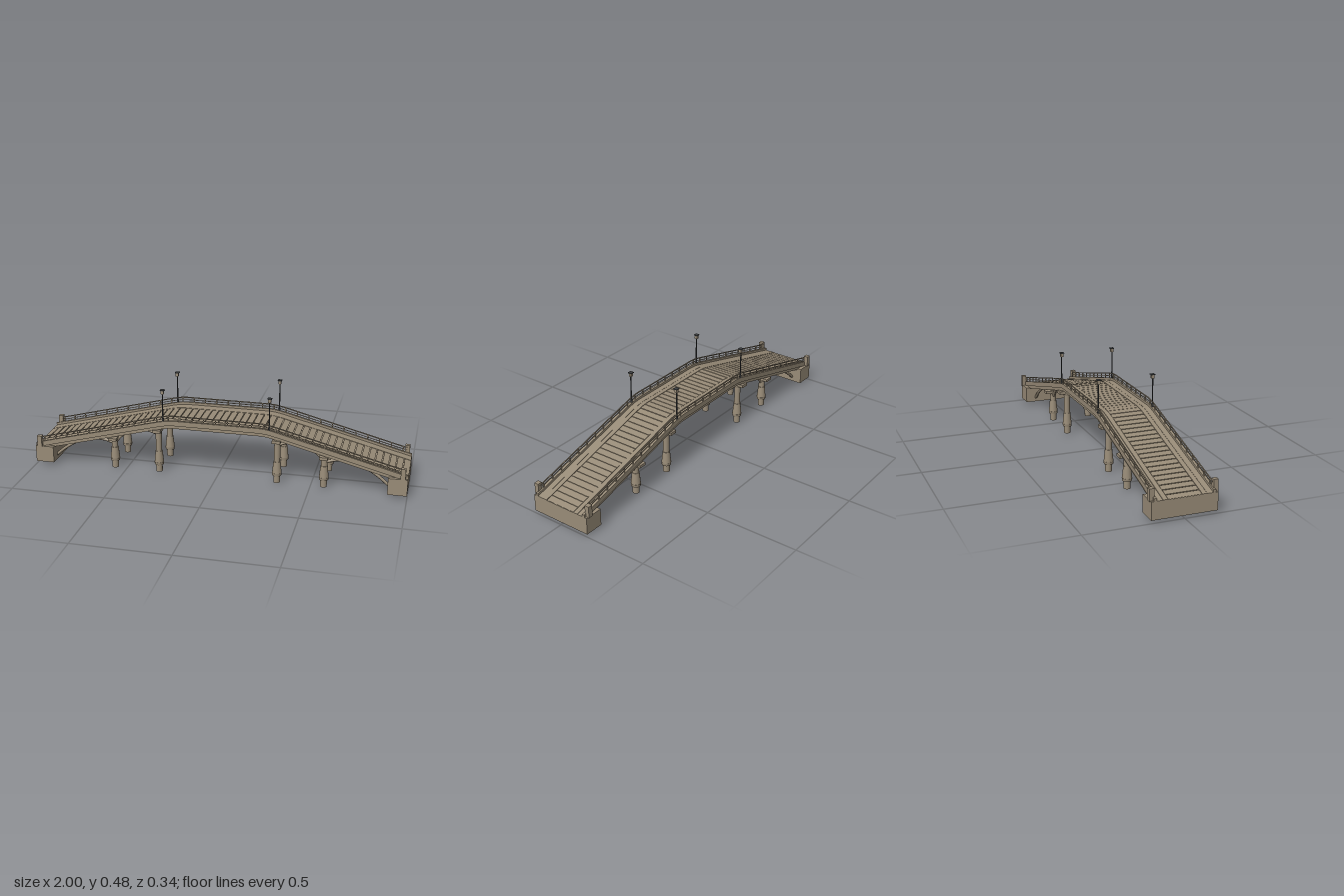
import * as THREE from 'three';

export function createModel() {
  const bridge = new THREE.Group();
  bridge.name = 'footbridge';
  const stone = new THREE.MeshStandardMaterial({ color: 0x998c78 });
  stone.name = 'weathered tan';
  const iron = new THREE.MeshStandardMaterial({ color: 0x3c3e40 });
  iron.name = 'dark iron';

  const add = (name, geo, mat = stone, x = 0, y = 0, z = 0) => {
    const m = new THREE.Mesh(geo, mat);
    m.name = name;
    m.position.set(x, y, z);
    bridge.add(m);
    return m;
  };
  const box = (name, w, h, d, x, y, z, mat = stone) =>
    add(name, new THREE.BoxGeometry(w, h, d), mat, x, y, z);
  const cylinder = (name, rTop, rBottom, y0, y1, x, z, mat = stone, sides = 16) =>
    add(name, new THREE.CylinderGeometry(rTop, rBottom, y1 - y0, sides), mat, x, (y0 + y1) / 2, z);

  // Deck profile: level centre, eased shoulders, straight ramps
  const half = [[0, 0.297], [0.23, 0.297], [0.265, 0.294], [0.3, 0.287], [0.34, 0.277], [1, 0.106]];
  const deckY = (x) => {
    const a = Math.abs(x);
    const i = Math.max(1, half.findIndex((p) => p[0] >= a - 1e-6));
    const [p, q] = [half[i - 1], half[i]];
    return p[1] + ((a - p[0]) / (q[0] - p[0])) * (q[1] - p[1]);
  };
  const slope = (x) => Math.atan2(deckY(x + 0.005) - deckY(x - 0.005), 0.01);

  // Band following the deck, between two height offsets and two z values
  const band = (name, low, high, z0, z1, end = 1, mat = stone) => {
    const xs = [-end, ...half.slice(1, -1).map((p) => -p[0]).reverse(),
      ...half.slice(1, -1).map((p) => p[0]), end];
    const pts = [
      ...xs.map((x) => new THREE.Vector2(x, deckY(x) + low)),
      ...xs.slice().reverse().map((x) => new THREE.Vector2(x, deckY(x) + high)),
    ];
    const geo = new THREE.ExtrudeGeometry(new THREE.Shape(pts), { depth: z1 - z0, bevelEnabled: false });
    return add(name, geo, mat, 0, 0, z0);
  };

  // Deck slab, with cross planks laid on it
  band('deckSlab', -0.014, -0.004, -0.141, 0.141);
  const count = 56;
  for (let i = 0; i < count; i++) {
    const x = -1 + (i + 0.5) * (2 / count);
    const plank = box('deckPlank', 0.032, 0.006, 0.168, x, deckY(x) - 0.003, 0);
    plank.rotation.z = slope(x);
  }

  // Cross beams below the deck
  for (let i = -8; i <= 8; i++) {
    const x = i * 0.105;
    const beam = box('crossBeam', 0.014, 0.016, 0.27, x, deckY(x) - 0.021, 0);
    beam.rotation.z = slope(x);
  }

  for (const s of [-1, 1]) {
    const side = (name, low, high, a, b, end) =>
      band(name, low, high, Math.min(s * a, s * b), Math.max(s * a, s * b), end);

    // Walkway margins, curb and girders
    side('innerMargin', -0.006, 0.001, 0.086, 0.109);
    side('outerMargin', -0.006, 0, 0.111, 0.141);
    side('curb', -0.014, 0.013, 0.141, 0.154);
    side('edgeGirder', -0.032, -0.012, 0.122, 0.146, 0.99);
    side('innerStringer', -0.028, -0.012, 0.042, 0.056, 0.99);

    // Railing
    side('topRail', 0.036, 0.041, 0.1455, 0.1505, 0.975);
    side('midRail', 0.023, 0.026, 0.1465, 0.1495, 0.975);
    for (let i = -15; i <= 15; i++) {
      const x = i * 0.0635;
      box('railPost', 0.006, 0.034, 0.005, x, deckY(x) + 0.023, s * 0.148);
    }

    for (const e of [-1, 1]) {
      // End post on the abutment
      box('endPost', 0.025, 0.062, 0.024, e * 0.975, 0.133, s * 0.16);
      box('endCurbBlock', 0.02, 0.015, 0.014, e * 0.99, 0.112, s * 0.148);

      // Lamp
      const lx = e * 0.283;
      cylinder('lampBase', 0.005, 0.006, 0.295, 0.32, lx, s * 0.148, iron, 10);
      cylinder('lampPole', 0.0028, 0.0035, 0.32, 0.456, lx, s * 0.148, iron, 10);
      box('lampHead', 0.015, 0.018, 0.015, lx, 0.464, s * 0.146);
      box('lampCap', 0.022, 0.004, 0.022, lx, 0.475, s * 0.146, iron);

      // Piers with a flared sleeve
      for (const [px, top] of [[0.32, 0.235], [0.567, 0.167]]) {
        const z = s * 0.107;
        cylinder('pierFoot', 0.0175, 0.0175, 0, 0.045, e * px, z);
        cylinder('pierCollar', 0.026, 0.024, 0.04, 0.055, e * px, z);
        cylinder('pierSleeve', 0.019, 0.025, 0.055, 0.118, e * px, z);
        cylinder('pierShaft', 0.0165, 0.0165, 0.118, top, e * px, z);
        cylinder('pierHead', 0.021, 0.0175, top - 0.016, top, e * px, z);
        const seat = deckY(px) - 0.026;
        box('bearingBlock', 0.026, seat - top, 0.03, e * px, (seat + top) / 2, z);
      }

      // Arch ribs springing from abutment to pier and pier to pier
      const arches = [
        [[0.91, 0.035], [0.84, 0.092], [0.76, 0.138], [0.69, 0.156], [0.62, 0.153], [0.567, 0.137]],
        [[0.567, 0.137], [0.53, 0.182], [0.48, 0.216], [0.42, 0.23], [0.37, 0.227], [0.32, 0.21]],
      ];
      for (const pts of arches) {
        const curve = new THREE.CatmullRomCurve3(
          pts.map(([x, y]) => new THREE.Vector3(e * x, y, s * 0.107)));
        add('archRib', new THREE.TubeGeometry(curve, 24, 0.008, 10));
      }
    }
  }

  for (const e of [-1, 1]) {
    // Abutments and pier cap beams
    box('abutment', 0.1, 0.09, 0.334, e * 0.95, 0.06, 0);
    box('tallPierCap', 0.044, 0.016, 0.31, e * 0.32, 0.241, 0);
    box('shortPierCap', 0.044, 0.015, 0.308, e * 0.567, 0.173, 0);
  }
  return bridge;
}
